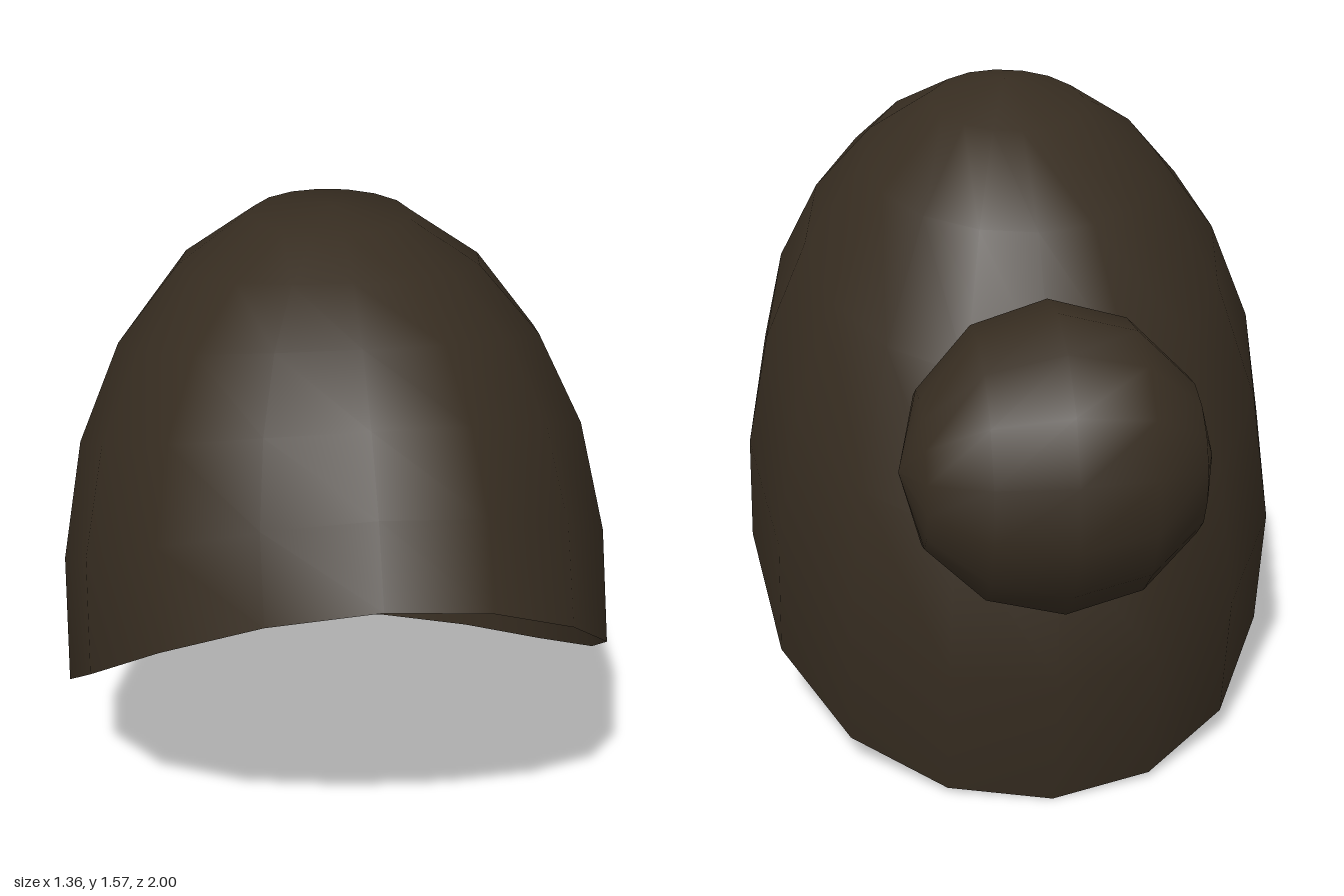
import * as THREE from 'three';

const hairBrown = new THREE.MeshStandardMaterial({ color: 0x372d21, side: THREE.DoubleSide });
hairBrown.name = 'darkBrownHair';

// Each ring of the cap: front (z, y), side (x, y, z), back (z, y)
const RINGS = [
  { f: [0.32, 1.555], s: [0.19, 1.53, 0.085], b: [-0.16, 1.51] },
  { f: [0.49, 1.50], s: [0.365, 1.40, 0.045], b: [-0.42, 1.34] },
  { f: [0.65, 1.41], s: [0.515, 1.20, 0.03], b: [-0.61, 1.05] },
  { f: [0.79, 1.28], s: [0.62, 0.95, 0.05], b: [-0.72, 0.70] },
  { f: [0.91, 1.13], s: [0.675, 0.65, 0.095], b: [-0.755, 0.35] },
  { f: [1.00, 0.96], s: [0.68, 0.345, 0.18], b: [-0.675, 0.00] },
];
const SIDES = 16;

// Passes through front (c = 1), side (c = 0) and back (c = -1)
const blend = (front, side, back, c) =>
  side + ((front - back) / 2) * c + ((front + back) / 2 - side) * c * c;

function capGeometry() {
  const pos = [0, 1.57, 0.15];
  const index = [];
  RINGS.forEach(({ f, s, b }, k) => {
    for (let i = 0; i < SIDES; i++) {
      const t = (i / SIDES) * Math.PI * 2;
      const a = t - 0.03 * Math.sin(2 * t);
      const c = Math.cos(a);
      pos.push(s[0] * Math.sin(a), blend(f[1], s[1], b[1], c), blend(f[0], s[2], b[0], c));
      const j = (i + 1) % SIDES;
      const p = 1 + k * SIDES, q = p - SIDES;
      if (k === 0) index.push(0, p + i, p + j);
      else index.push(q + i, p + i, p + j, q + i, p + j, q + j);
    }
  });
  const g = new THREE.BufferGeometry();
  g.setAttribute('position', new THREE.Float32BufferAttribute(pos, 3));
  g.setIndex(index);
  g.computeVertexNormals();
  return g;
}

// Ball with its poles at the sides; the front, inside the cap, is dented inward
function bunGeometry() {
  const r = 0.355, dent = 0.26;
  const g = new THREE.SphereGeometry(r, 15, 6, Math.PI / 2);
  g.rotateZ(Math.PI / 2);
  const p = g.attributes.position;
  for (let i = 0; i < p.count; i++) {
    const x = p.getX(i), z = p.getZ(i);
    const dented = z > dent ? 2 * dent - z : z;
    p.setZ(i, dented - 0.04 * (x / r) ** 2);
  }
  g.computeVertexNormals();
  g.translate(0, 0.885, -0.652);
  return g;
}

export function createModel() {
  const group = new THREE.Group();
  group.name = 'hairWithBun';
  const add = (name, geometry) => {
    const mesh = new THREE.Mesh(geometry, hairBrown);
    mesh.name = name;
    group.add(mesh);
  };
  add('hairCap', capGeometry());
  add('hairBun', bunGeometry());
  return group;
}
